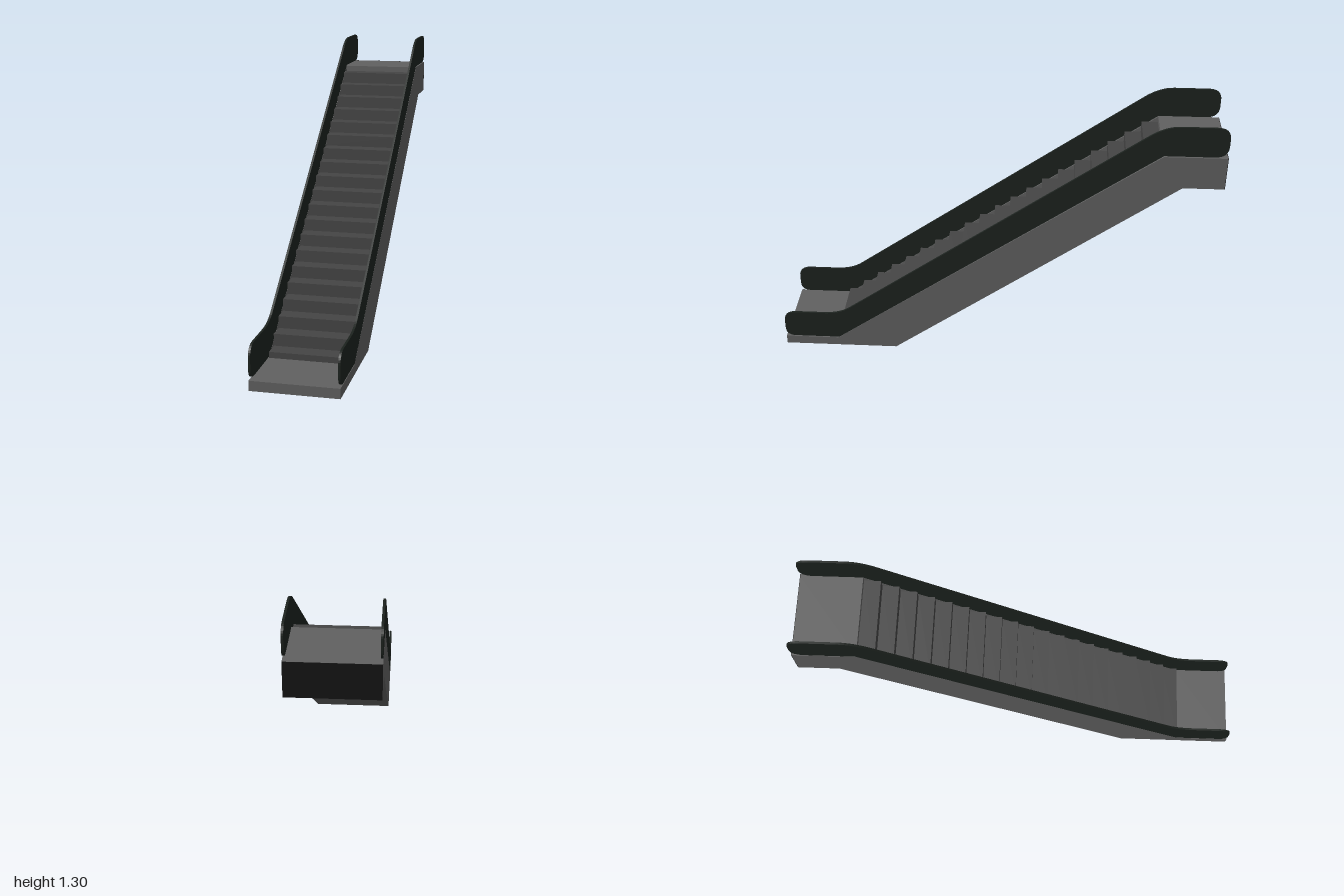
import * as THREE from 'three';

const HALF = 1.05;      // half length along the run
const WIDTH = 0.392;    // overall width
const SKIN = 0.01;      // thickness of side panels
const LOW = [-0.785, 0.045], HIGH = [0.765, 1.15]; // ends of the sloping run
const STEPS = 20;

const paint = (color) => new THREE.MeshStandardMaterial({ color, flatShading: true });

// Extrude a side profile to a given width, centred on z
function slab(name, shape, width, z, material) {
  const geo = new THREE.ExtrudeGeometry(shape, { depth: width, bevelEnabled: false, curveSegments: 8 });
  geo.translate(0, 0, z - width / 2);
  const mesh = new THREE.Mesh(geo, material);
  mesh.name = name;
  return mesh;
}

const polygon = (pts) => new THREE.Shape(pts.map(([x, y]) => new THREE.Vector2(x, y)));

// Truss profile; drop lowers the sloping top to leave room for the steps
function trussShape(drop) {
  const top = drop
    ? [HIGH, [HIGH[0], HIGH[1] - drop], [LOW[0] + 0.08, 0.02], [LOW[0], 0.02], LOW]
    : [HIGH, LOW];
  return polygon([[-HALF, 0], [-0.492, 0], [0.862, 0.99], [HALF, 0.99], [HALF, HIGH[1]], ...top, [-HALF, LOW[1]]]);
}

// Zigzag of treads and risers over a sloping underside
function stepShape() {
  const run = (HIGH[0] - LOW[0]) / STEPS, rise = (HIGH[1] - LOW[1]) / STEPS;
  const pts = [[LOW[0], 0.015]];
  for (let i = 0; i < STEPS; i++) {
    const y = LOW[1] + (i + 0.5) * rise;
    pts.push([LOW[0] + i * run, y], [LOW[0] + (i + 1) * run, y]);
  }
  pts.push([HIGH[0], HIGH[1] - 0.09], [LOW[0] + 0.08, 0.015]);
  return polygon(pts);
}

// Balustrade with rounded ends and eased bends on its upper edge
function balustradeShape() {
  const s = new THREE.Shape();
  s.moveTo(-1.0, 0.05);
  s.lineTo(-0.78, 0.05);
  s.lineTo(0.765, 1.155);
  s.lineTo(0.99, 1.155);
  s.bezierCurveTo(1.03, 1.155, HALF, 1.175, HALF, 1.21);
  s.lineTo(HALF, 1.25);
  s.bezierCurveTo(HALF, 1.28, 1.03, 1.3, 0.99, 1.3);
  s.lineTo(0.83, 1.3);
  s.quadraticCurveTo(0.76, 1.3, 0.69, 1.248);
  s.lineTo(-0.72, 0.232);
  s.quadraticCurveTo(-0.77, 0.197, -0.85, 0.197);
  s.lineTo(-0.99, 0.197);
  s.bezierCurveTo(-1.03, 0.197, -HALF, 0.175, -HALF, 0.145);
  s.lineTo(-HALF, 0.1);
  s.bezierCurveTo(-HALF, 0.07, -1.04, 0.05, -1.0, 0.05);
  return s;
}

export function createModel() {
  const model = new THREE.Group();
  model.name = 'escalator';
  const grey = paint(0x606060), dark = paint(0x454545), black = paint(0x1c221e);

  // Truss core with landings, and the moving steps
  const inner = WIDTH - 2 * SKIN;
  model.add(slab('trussCore', trussShape(0.08), inner, 0, grey));
  model.add(slab('steps', stepShape(), inner, 0, dark));

  // Skirts and balustrades on both sides
  for (const side of [-1, 1]) {
    const z = side * (WIDTH - SKIN) / 2;
    model.add(slab('skirt', trussShape(0), SKIN, z, grey));
    model.add(slab('balustrade', balustradeShape(), SKIN, z, black));
  }

  // Dark end plate at the upper landing
  const plate = new THREE.Mesh(new THREE.BoxGeometry(0.002, 0.16, WIDTH), paint(0x151515));
  plate.name = 'upperEndPlate';
  plate.position.set(HALF + 0.001, 1.07, 0);
  model.add(plate);

  // The whole run stands diagonally
  model.rotation.y = THREE.MathUtils.degToRad(31.4);
  const root = new THREE.Group();
  root.add(model);
  return root;
}
